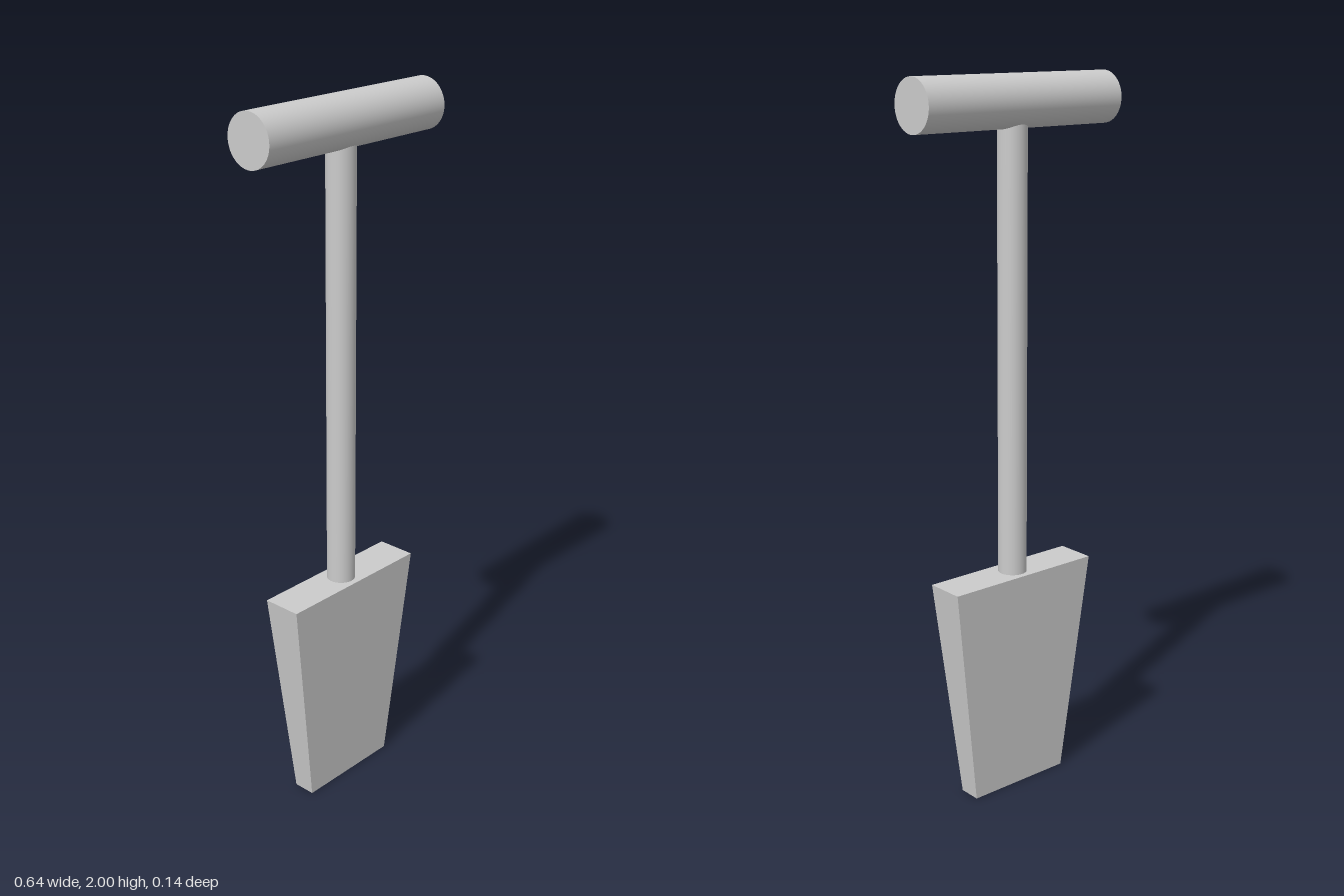
import * as THREE from 'three';

const material = new THREE.MeshStandardMaterial({ color: 0xcccccc });

function addPart(group, name, geometry, y) {
  const mesh = new THREE.Mesh(geometry, material);
  mesh.name = name;
  mesh.position.y = y;
  group.add(mesh);
}

// Box that narrows to its own width and depth at the bottom
function taperedBox(topWidth, topDepth, bottomWidth, bottomDepth, height) {
  const geometry = new THREE.BoxGeometry(topWidth, height, topDepth);
  const pos = geometry.attributes.position;
  for (let i = 0; i < pos.count; i++) {
    if (pos.getY(i) > 0) continue;
    pos.setX(i, Math.sign(pos.getX(i)) * bottomWidth / 2);
    pos.setZ(i, Math.sign(pos.getZ(i)) * bottomDepth / 2);
  }
  geometry.computeVertexNormals();
  return geometry;
}

export function createModel() {
  const group = new THREE.Group();
  group.name = 'spade';

  const bladeHeight = 0.645;
  const gripRadius = 0.07;
  const gripY = 2 - gripRadius;

  // Blade, tapering in width and thickness towards the tip
  addPart(group, 'blade', taperedBox(0.48, 0.113, 0.32, 0.064, bladeHeight), bladeHeight / 2);

  // Shaft, running from the blade top into the grip
  const shaftLength = gripY - bladeHeight;
  addPart(group, 'shaft', new THREE.CylinderGeometry(0.04, 0.04, shaftLength, 48), bladeHeight + shaftLength / 2);

  // Crosswise grip
  const grip = new THREE.CylinderGeometry(gripRadius, gripRadius, 0.643, 64).rotateZ(Math.PI / 2);
  addPart(group, 'grip', grip, gripY);

  return group;
}
